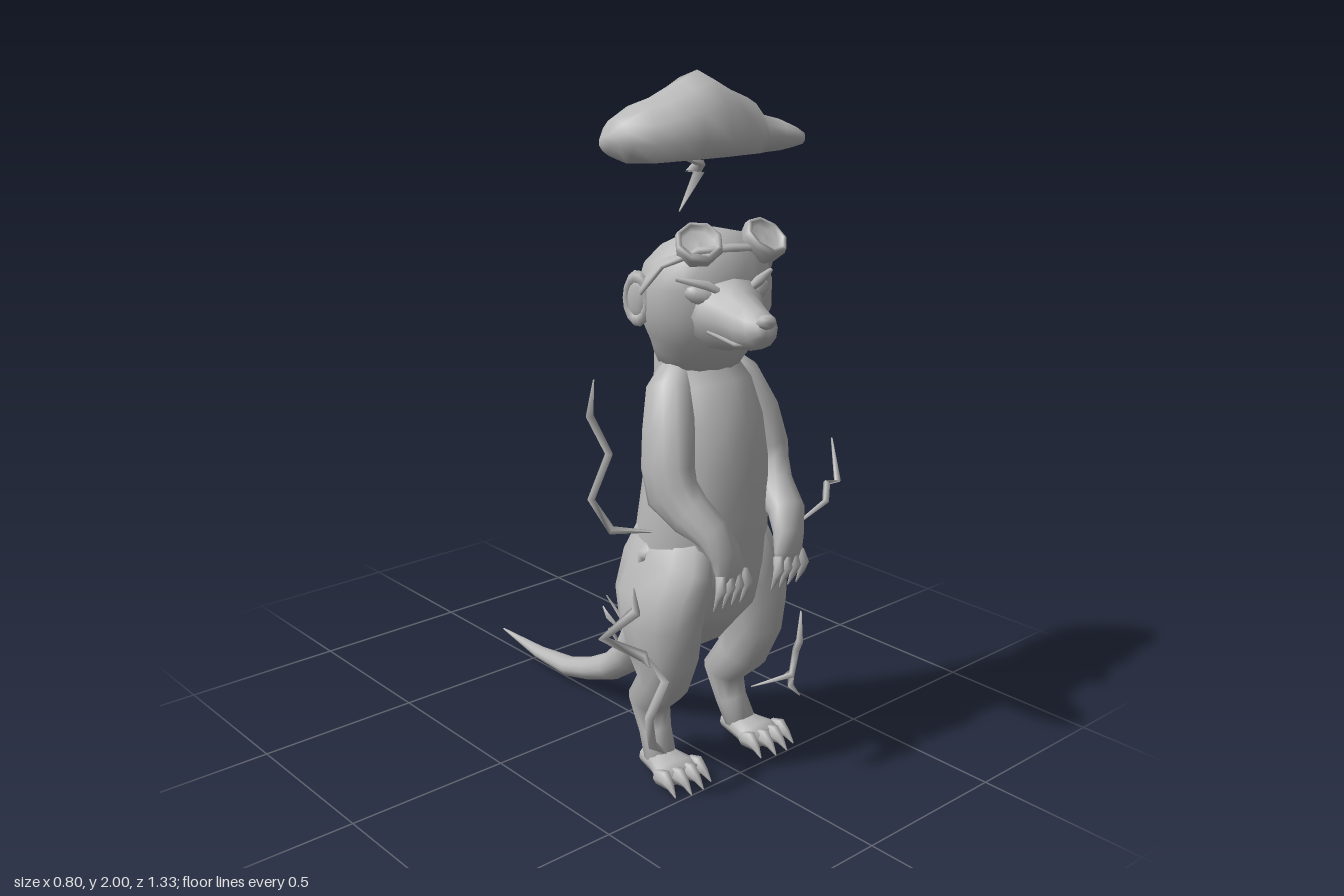
import * as THREE from 'three';

const fur = new THREE.MeshStandardMaterial({ color: 0xb8b8b8 });
fur.name = 'plain grey';

const X = new THREE.Vector3(1, 0, 0);
const Z = new THREE.Vector3(0, 0, 1);

// Closed skin over elliptical rings [x, y, z, radius along ref, other radius]
function loft(rings, n = 12, ref = X) {
  const pts = rings.map(r => new THREE.Vector3(r[0], r[1], r[2]));
  const pos = [], index = [], last = rings.length - 1;
  rings.forEach((r, i) => {
    const t = pts[Math.min(i + 1, last)].clone().sub(pts[Math.max(i - 1, 0)]).normalize();
    const u = ref.clone().addScaledVector(t, -ref.dot(t)).normalize();
    const v = t.clone().cross(u);
    for (let k = 0; k < n; k++) {
      const a = (k / n) * Math.PI * 2;
      const p = pts[i].clone().addScaledVector(u, Math.cos(a) * r[3]).addScaledVector(v, Math.sin(a) * r[4]);
      pos.push(p.x, p.y, p.z);
      if (i < last) {
        const b = i * n + k, c = i * n + (k + 1) % n;
        index.push(b, c, c + n, b, c + n, b + n);
      }
    }
  });
  const start = rings.length * n;
  pos.push(...pts[0].toArray(), ...pts[last].toArray());
  for (let k = 0; k < n; k++) {
    const k1 = (k + 1) % n;
    index.push(start, k1, k, start + 1, last * n + k, last * n + k1);
  }
  const g = new THREE.BufferGeometry();
  g.setAttribute('position', new THREE.Float32BufferAttribute(pos, 3));
  g.setIndex(index);
  g.computeVertexNormals();
  return g;
}

function add(parent, name, geometry, x = 0, y = 0, z = 0) {
  const m = new THREE.Mesh(geometry, fur);
  m.name = name;
  m.position.set(x, y, z);
  parent.add(m);
  return m;
}

const mirror = (rings, s) => rings.map(([x, ...rest]) => [x * s, ...rest]);

// Jagged spark, thick in the middle and pointed at the ends
function bolt(parent, name, path, w = 0.016) {
  const last = path.length - 1;
  const rings = path.map((p, i) => {
    const r = i === 0 || i === last ? 0.003 : w;
    return [...p, r, r * 0.8];
  });
  add(parent, name, loft(rings, 4, Z));
}

function buildHead() {
  const head = new THREE.Group();
  head.name = 'head';
  head.position.set(-0.008, 0, 0.32);
  head.rotation.y = -0.25;
  add(head, 'skull', loft([
    [0, 1.2, -0.03, 0.115, 0.1], [0, 1.26, -0.015, 0.14, 0.122], [0, 1.31, 0.005, 0.17, 0.145],
    [0, 1.37, 0.015, 0.19, 0.158], [0, 1.44, 0.015, 0.19, 0.158], [0, 1.505, 0.01, 0.17, 0.15],
    [0, 1.55, -0.005, 0.122, 0.11], [0, 1.572, -0.015, 0.05, 0.045],
  ], 16));
  add(head, 'muzzle', loft([
    [0, 1.38, 0.08, 0.135, 0.125], [0, 1.374, 0.155, 0.105, 0.102], [0, 1.368, 0.205, 0.076, 0.08],
    [0, 1.363, 0.265, 0.06, 0.064], [0, 1.366, 0.312, 0.05, 0.05], [0, 1.376, 0.342, 0.03, 0.028],
  ]));
  add(head, 'nose', new THREE.SphereGeometry(0.025, 8, 6), 0, 1.39, 0.335).scale.set(1.2, 0.8, 0.8);
  add(head, 'mouth', loft([
    [-0.085, 1.34, 0.18, 0.005, 0.005], [-0.045, 1.32, 0.258, 0.008, 0.008], [0, 1.333, 0.322, 0.008, 0.008],
    [0.045, 1.32, 0.258, 0.008, 0.008], [0.085, 1.34, 0.18, 0.005, 0.005],
  ], 6, Z));

  // Goggle strap across the forehead
  add(head, 'goggleStrap', loft([
    [-0.192, 1.43, 0.0, 0.02, 0.008], [-0.162, 1.51, 0.07, 0.02, 0.008], [-0.085, 1.545, 0.12, 0.02, 0.012],
    [0.01, 1.545, 0.13, 0.02, 0.015],
    [0.1, 1.54, 0.115, 0.02, 0.012], [0.165, 1.51, 0.07, 0.02, 0.008], [0.192, 1.43, 0.0, 0.02, 0.008],
  ], 8, Z));

  const cup = [[0.043, -0.03], [0.058, -0.025], [0.067, 0.015], [0.063, 0.03], [0.052, 0.03], [0.048, 0.01], [0, 0.015]]
    .map(p => new THREE.Vector2(...p));
  for (const s of [-1, 1]) {
    const lens = add(head, 'goggleLens', new THREE.LatheGeometry(cup, 8), 0.024 + s * 0.098, 1.553, 0.105);
    lens.quaternion.setFromUnitVectors(new THREE.Vector3(0, 1, 0), new THREE.Vector3(s * 0.2, 0.75, 0.62).normalize());

    // Narrowed eye below a slanting brow
    const eye = add(head, 'eye', new THREE.SphereGeometry(0.045, 10, 6), s * 0.09, 1.432, 0.148);
    eye.scale.set(1, 0.55, 0.4);
    eye.rotation.set(0, s * 0.5, s * 0.25);
    add(head, 'brow', loft(mirror([
      [0.03, 1.435, 0.178, 0.008, 0.008], [0.08, 1.462, 0.166, 0.015, 0.014], [0.145, 1.475, 0.115, 0.008, 0.006],
    ], s), 6, Z));

    // Rounded ear with a raised rim, lying close to the skull
    const ear = new THREE.Group();
    ear.name = 'ear';
    ear.position.set(s * 0.195, 1.405, -0.01);
    ear.rotation.y = s * 1.05;
    ear.scale.set(0.85, 1.45, 1);
    add(ear, 'earRim', new THREE.TorusGeometry(0.04, 0.014, 6, 14));
    add(ear, 'earInner', new THREE.SphereGeometry(0.042, 10, 6)).scale.z = 0.35;
    head.add(ear);
  }
  return head;
}

function buildLimbs(body, s) {
  const side = s > 0 ? 'left' : 'right';
  add(body, side + 'Arm', loft(mirror([
    [0.09, 1.2, 0.3, 0.04, 0.05], [0.128, 1.15, 0.32, 0.06, 0.075], [0.163, 1.05, 0.355, 0.064, 0.085],
    [0.182, 0.95, 0.375, 0.06, 0.09], [0.178, 0.88, 0.39, 0.056, 0.095], [0.163, 0.83, 0.45, 0.058, 0.068],
    [0.145, 0.79, 0.515, 0.055, 0.05], [0.125, 0.735, 0.545, 0.05, 0.036], [0.115, 0.685, 0.555, 0.05, 0.026],
    [0.112, 0.645, 0.553, 0.042, 0.018],
  ], s)));
  add(body, side + 'Leg', loft(mirror([
    [0.09, 0.78, 0.325, 0.07, 0.12], [0.128, 0.64, 0.32, 0.082, 0.17], [0.16, 0.55, 0.325, 0.098, 0.165],
    [0.17, 0.47, 0.335, 0.098, 0.142], [0.168, 0.38, 0.345, 0.086, 0.12], [0.16, 0.29, 0.34, 0.072, 0.078],
    [0.152, 0.205, 0.27, 0.058, 0.068], [0.155, 0.12, 0.3, 0.046, 0.052], [0.165, 0.045, 0.335, 0.048, 0.045],
  ], s)));
  add(body, side + 'HipTuft', loft(mirror([
    [0.18, 0.69, 0.31, 0.015, 0.03], [0.2, 0.67, 0.29, 0.012, 0.02], [0.205, 0.64, 0.28, 0.002, 0.002],
  ], s), 6));
  add(body, side + 'Foot', loft(mirror([
    [0.165, 0.035, 0.28, 0.035, 0.028], [0.165, 0.04, 0.35, 0.055, 0.038], [0.17, 0.036, 0.41, 0.076, 0.033],
    [0.172, 0.032, 0.44, 0.075, 0.026],
  ], s)));
  for (let i = 0; i < 4; i++) {
    const d = (i - 1.5) * 0.028;
    // Fingers end in claws
    add(body, side + 'Finger', loft(mirror([
      [0.112 + d, 0.68, 0.56, 0.014, 0.016], [0.112 + d * 1.2, 0.645, 0.572, 0.015, 0.016],
      [0.112 + d * 1.25, 0.618, 0.564, 0.009, 0.01], [0.112 + d * 1.2, 0.575, 0.545, 0.002, 0.002],
    ], s), 6));
    const f = (i - 1.5) * 0.042, reach = i === 1 || i === 2 ? 0.012 : -0.005;
    add(body, side + 'Toe', loft(mirror([
      [0.172 + f, 0.035, 0.4, 0.018, 0.022], [0.172 + f, 0.042, 0.44 + reach, 0.021, 0.027],
      [0.172 + f * 1.05, 0.028, 0.465 + reach, 0.011, 0.014], [0.172 + f * 1.1, 0.005, 0.49 + reach, 0.002, 0.002],
    ], s), 6));
  }
}

function buildCloud() {
  const g = loft([
    [-0.25, 1.81, 0.215, 0.045, 0.03], [-0.225, 1.82, 0.215, 0.08, 0.06], [-0.165, 1.82, 0.23, 0.115, 0.1],
    [-0.1, 1.825, 0.245, 0.135, 0.115], [-0.05, 1.825, 0.262, 0.142, 0.15], [0.01, 1.82, 0.268, 0.15, 0.18],
    [0.1, 1.825, 0.268, 0.138, 0.13], [0.175, 1.82, 0.29, 0.112, 0.1], [0.21, 1.82, 0.305, 0.098, 0.055],
    [0.26, 1.815, 0.33, 0.075, 0.045], [0.3, 1.81, 0.35, 0.05, 0.03], [0.325, 1.805, 0.36, 0.025, 0.018],
  ], 12, Z);
  // Flatten the underside, dipping slightly in the middle
  const p = g.attributes.position;
  for (let i = 0; i < p.count; i++) {
    const floor = 1.765 + 0.12 * Math.abs(p.getZ(i) - 0.27);
    if (p.getY(i) < floor) p.setY(i, floor);
  }
  g.computeVertexNormals();
  return g;
}

export function createModel() {
  const model = new THREE.Group();
  model.name = 'stormyMeerkat';

  add(model, 'torso', loft([
    [0, 0.36, 0.34, 0.04, 0.06], [0, 0.42, 0.3, 0.11, 0.14], [0, 0.52, 0.3, 0.175, 0.18],
    [0, 0.65, 0.315, 0.197, 0.187], [0, 0.8, 0.33, 0.187, 0.18], [0, 0.95, 0.338, 0.172, 0.172],
    [0, 1.05, 0.332, 0.16, 0.16], [0, 1.14, 0.312, 0.147, 0.135], [0, 1.2, 0.287, 0.126, 0.108],
    [0, 1.26, 0.285, 0.125, 0.105], [0, 1.32, 0.285, 0.11, 0.095],
  ], 16));
  add(model, 'tail', loft([
    [0, 0.82, 0.28, 0.12, 0.11], [0, 0.64, 0.235, 0.13, 0.1], [0, 0.48, 0.165, 0.105, 0.085],
    [0, 0.34, 0.105, 0.075, 0.075], [0, 0.2, 0.005, 0.057, 0.055], [0, 0.13, -0.08, 0.052, 0.045],
    [0, 0.08, -0.19, 0.045, 0.036], [0, 0.046, -0.3, 0.038, 0.031], [0, 0.038, -0.46, 0.026, 0.019],
    [0, 0.052, -0.67, 0.003, 0.003],
  ]));
  for (const s of [-1, 1]) buildLimbs(model, s);
  model.add(buildHead());
  add(model, 'cloud', buildCloud());

  // Sparks around the body and under the cloud
  bolt(model, 'cloudBolt', [[0.03, 1.78, 0.27], [-0.03, 1.735, 0.29], [0.015, 1.73, 0.275], [-0.065, 1.63, 0.285]], 0.022);
  bolt(model, 'cloudSpark', [[-0.05, 1.77, 0.28], [0, 1.755, 0.3], [0.02, 1.7, 0.25]], 0.014);
  bolt(model, 'rightArmBolt', [[-0.29, 1.18, 0.19], [-0.305, 1.08, 0.19], [-0.245, 0.96, 0.2], [-0.31, 0.84, 0.2], [-0.27, 0.75, 0.24], [-0.18, 0.75, 0.33]]);
  bolt(model, 'leftArmBolt', [[0.4, 0.935, 0.45], [0.33, 0.84, 0.54], [0.34, 0.82, 0.49], [0.26, 0.8, 0.56], [0.16, 0.71, 0.5]], 0.012);
  bolt(model, 'rightHipBolt', [[-0.325, 0.64, 0.4], [-0.3, 0.56, 0.38], [-0.385, 0.49, 0.34], [-0.305, 0.44, 0.42], [-0.31, 0.42, 0.45]], 0.02);
  bolt(model, 'rightLegBolt', [[-0.3, 0.44, 0.43], [-0.255, 0.36, 0.45], [-0.33, 0.28, 0.47], [-0.3, 0.18, 0.45], [-0.23, 0.12, 0.43]], 0.018);
  bolt(model, 'leftLegBolt', [[0.315, 0.4, 0.43], [0.27, 0.33, 0.47], [0.31, 0.27, 0.42], [0.25, 0.22, 0.46], [0.16, 0.18, 0.38]], 0.014);
  bolt(model, 'leftFootBolt', [[0.23, 0.21, 0.44], [0.29, 0.2, 0.42], [0.27, 0.17, 0.44], [0.29, 0.14, 0.46]], 0.014);
  bolt(model, 'tailBolt', [[-0.01, 0.2, 0], [-0.05, 0.29, -0.03], [0, 0.3, -0.02], [-0.04, 0.39, -0.06]], 0.012);
  bolt(model, 'tailSpark', [[-0.02, 0.28, -0.01], [-0.04, 0.32, -0.05], [-0.03, 0.34, -0.09]], 0.012);
  return model;
}
